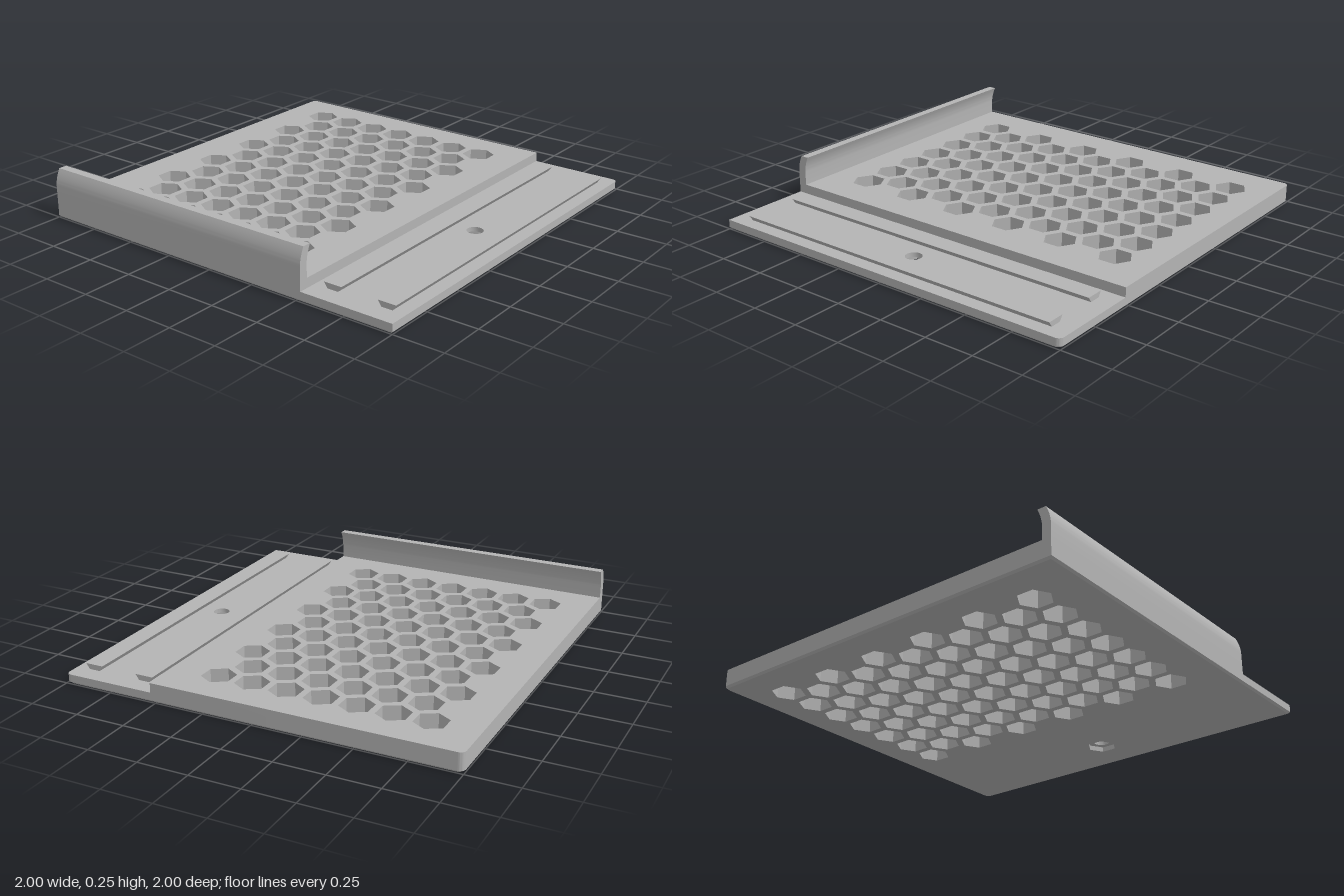
import * as THREE from 'three';
import { toCreasedNormals } from 'three/addons/utils/BufferGeometryUtils.js';

const STEP_X = 0.525, LOW_TOP = 0.048, HIGH_TOP = 0.096, LIP_TOP = 0.248;
const CHAMFER = 0.01, NUT_DEPTH = 0.025, CORNER = 0.028;

// Hexagonal hole with its points along z
function hexPath(x, z, r) {
  const pts = [];
  for (let i = 0; i < 6; i++) {
    const a = Math.PI / 6 + (i * Math.PI) / 3;
    pts.push(new THREE.Vector2(x + r * Math.cos(a), -z + r * Math.sin(a)));
  }
  return new THREE.Path(pts);
}

// Plan outline from the step line to one side edge, rear corner rounded
function outline(side) {
  const s = new THREE.Shape();
  s.moveTo(STEP_X, -1);
  s.lineTo(side, -1);
  s.lineTo(side, 1 - CORNER);
  const cx = side * (1 - CORNER);
  s.absarc(cx, 1 - CORNER, CORNER, side > 0 ? 0 : Math.PI, Math.PI / 2, side < 0);
  s.lineTo(STEP_X, 1);
  s.closePath();
  return s;
}

// Upright slab; optionally with a small chamfer round the outer bottom edge
function slab(shape, y0, y1, chamfered) {
  const h = y1 - y0;
  const g = new THREE.ExtrudeGeometry(shape, {
    depth: h, steps: chamfered ? 2 : 1, bevelEnabled: false, curveSegments: 12,
  });
  g.rotateX(-Math.PI / 2);
  if (chamfered) {
    const p = g.attributes.position;
    for (let i = 0; i < p.count; i++) {
      const x = p.getX(i), y = p.getY(i), z = p.getZ(i);
      if (Math.abs(y - h / 2) < 1e-4) p.setY(i, CHAMFER);
      if (y < 1e-4) {
        if (Math.abs(x) > 0.96) p.setX(i, x - Math.sign(x) * CHAMFER);
        if (Math.abs(z) > 0.96) p.setZ(i, z - Math.sign(z) * CHAMFER);
      }
    }
  }
  g.translate(0, y0, 0);
  g.computeVertexNormals();
  return toCreasedNormals(g, 0.5);
}

export function createModel() {
  const group = new THREE.Group();
  const grey = new THREE.MeshStandardMaterial({ color: 0xb4b4b4 });
  grey.name = 'plain grey';
  const add = (name, geometry) => {
    const m = new THREE.Mesh(geometry, grey);
    m.name = name;
    group.add(m);
  };

  // Thick plate with staggered honeycomb holes
  const main = outline(-1);
  for (let row = 0; row < 11; row++) {
    const odd = row % 2;
    for (let col = 0; col < 7 - odd; col++) {
      main.holes.push(hexPath(-0.767 + (col + odd / 2) * 0.176, -0.788 + row * 0.1526, 0.083));
    }
  }
  add('honeycombPlate', slab(main, 0, HIGH_TOP, true));

  // Thin side plate: nut recess below, round screw hole above
  const lower = outline(1);
  lower.holes.push(hexPath(0.763, 0, 0.076));
  add('sidePlateLower', slab(lower, 0, NUT_DEPTH, true));
  const upper = outline(1);
  upper.holes.push(new THREE.Path().absarc(0.763, 0, 0.041, 0, Math.PI * 2));
  add('sidePlateUpper', slab(upper, NUT_DEPTH, LOW_TOP, false));

  // Front lip, curling inward at the top (profile in z, y)
  const lip = new THREE.Shape();
  lip.moveTo(0.955, HIGH_TOP);
  lip.lineTo(1, HIGH_TOP);
  lip.lineTo(1, 0.165);
  lip.quadraticCurveTo(0.998, 0.205, 0.975, LIP_TOP);
  lip.lineTo(0.932, LIP_TOP);
  lip.quadraticCurveTo(0.953, 0.205, 0.955, 0.165);
  lip.closePath();
  const lipGeo = new THREE.ExtrudeGeometry(lip, {
    depth: STEP_X + 1, bevelEnabled: false, curveSegments: 10,
  });
  lipGeo.rotateY(-Math.PI / 2);
  lipGeo.translate(STEP_X, 0, 0);
  add('frontLip', toCreasedNormals(lipGeo, 0.5));

  // Dovetail rails, wider at the top
  for (const [name, x] of [['innerRail', 0.623], ['outerRail', 0.904]]) {
    const s = new THREE.Shape([[-0.028, LOW_TOP], [0.028, LOW_TOP], [0.046, 0.075], [-0.046, 0.075]]
      .map(([dx, y]) => new THREE.Vector2(x + dx, y)));
    const g = new THREE.ExtrudeGeometry(s, { depth: 1.812, bevelEnabled: false });
    g.translate(0, 0, -0.908);
    add(name, g);
  }
  return group;
}
